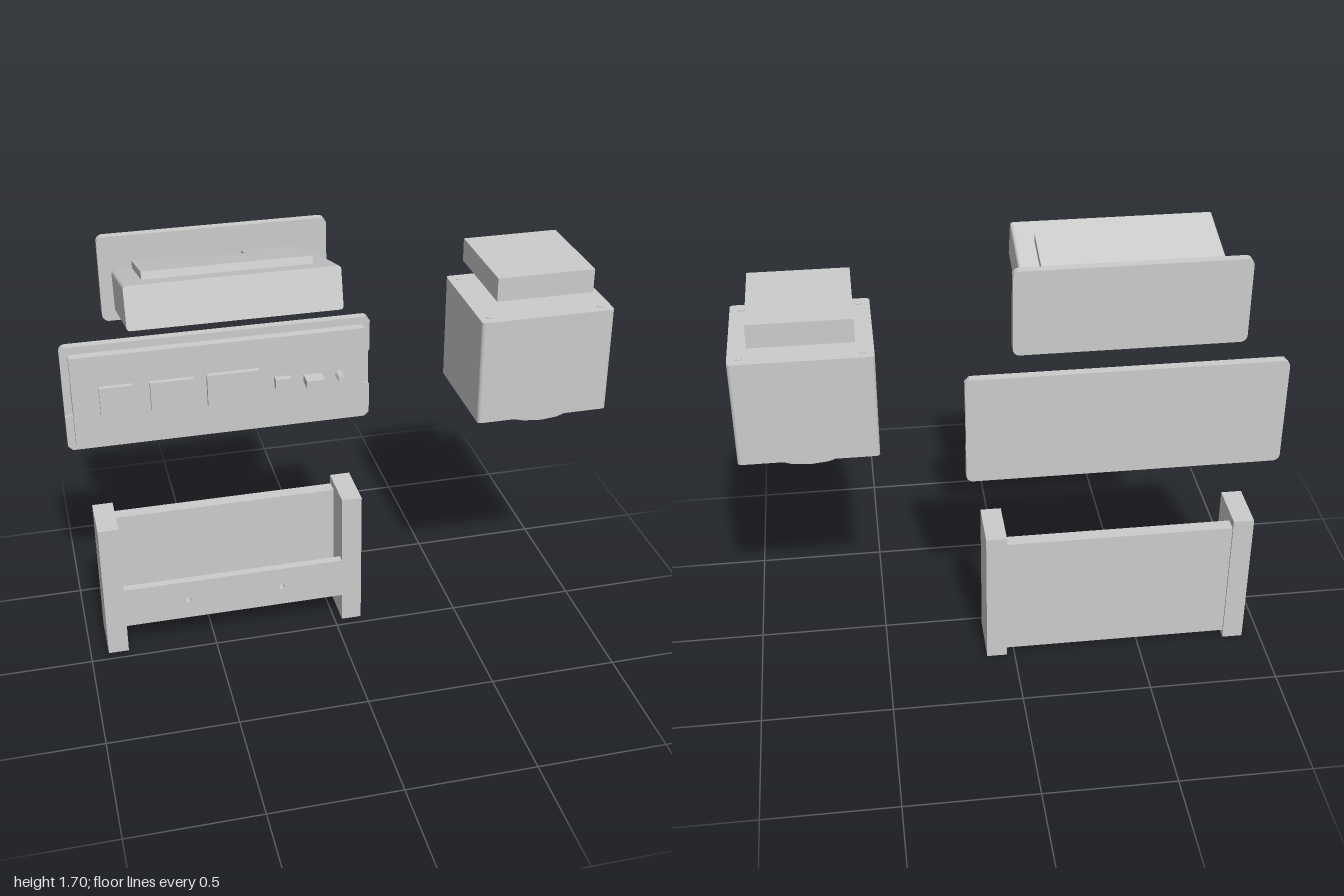
import * as THREE from 'three';

const mat = new THREE.MeshStandardMaterial({ color: 0xcccccc, flatShading: false });

function add(parent, name, geo) {
  const m = new THREE.Mesh(geo, mat);
  m.name = name;
  parent.add(m);
  return m;
}

// Box given by its limits on each axis
function block(parent, name, x0, x1, y0, y1, z0, z1) {
  const m = add(parent, name, new THREE.BoxGeometry(x1 - x0, y1 - y0, z1 - z0));
  m.position.set((x0 + x1) / 2, (y0 + y1) / 2, (z0 + z1) / 2);
  return m;
}

function roundRect(x0, x1, y0, y1, r) {
  const s = new THREE.Shape();
  s.absarc(x1 - r, y1 - r, r, 0, Math.PI / 2);
  s.absarc(x0 + r, y1 - r, r, Math.PI / 2, Math.PI);
  s.absarc(x0 + r, y0 + r, r, Math.PI, Math.PI * 1.5);
  s.absarc(x1 - r, y0 + r, r, Math.PI * 1.5, Math.PI * 2);
  s.closePath();
  return s;
}

function polygon(points) {
  return new THREE.Shape(points.map(p => new THREE.Vector2(p[0], p[1])));
}

function hole(shape, x, y, r) {
  const p = new THREE.Path();
  p.absarc(x, y, r, 0, Math.PI * 2, true);
  shape.holes.push(p);
}

// Extrude a front-facing outline between two z values
function slab(parent, name, shape, z0, z1) {
  const geo = new THREE.ExtrudeGeometry(shape, { depth: z1 - z0, bevelEnabled: false, curveSegments: 10 });
  geo.translate(0, 0, z0);
  return add(parent, name, geo);
}

function makeDisplay() {
  const g = new THREE.Group();
  g.name = 'displayUnit';
  slab(g, 'displayBackPlate', roundRect(-0.83, 0.01, 1.37, 1.695, 0.025), -0.24, -0.207);
  block(g, 'displayLedge', -0.75, -0.07, 1.385, 1.415, -0.21, -0.13);

  // Housing tilted upward at the front
  const tilt = new THREE.Group();
  tilt.name = 'tiltedHousing';
  tilt.position.set(-0.41, 1.549, 0.017);
  tilt.rotation.x = -Math.PI / 12;
  slab(tilt, 'housing', roundRect(-0.375, 0.375, -0.0765, 0.0765, 0.012), -0.209, 0.209);

  // Raised cover with a notch in its rear edge
  const cover = polygon([[-0.3, -0.103], [0.3, -0.103], [0.3, 0.205], [0.1, 0.205],
    [0.1, 0.125], [-0.1, 0.125], [-0.1, 0.205], [-0.3, 0.205]]);
  const top = slab(tilt, 'raisedCover', cover, 0, 0.029);
  top.rotation.x = -Math.PI / 2;
  top.position.y = 0.0755;
  g.add(tilt);
  return g;
}

function makeConnectorPanel() {
  const g = new THREE.Group();
  g.name = 'connectorPanel';
  slab(g, 'panelPlate', roundRect(-1, 0.18, 0.85, 1.28, 0.025), -0.24, -0.223);

  // Front layer with a shallow finger notch in each end
  const L = -1, R = 0.18, B = 0.85, T = 1.28, c = 0.018;
  slab(g, 'panelFrontLayer', polygon([
    [L + c, B], [R - c, B], [R, B + c], [R, 0.99], [R - 0.03, 1.0], [R - 0.03, 1.13], [R, 1.14], [R, T - c],
    [R - c, T], [L + c, T], [L, T - c], [L, 1.14], [L + 0.03, 1.13], [L + 0.03, 1.0], [L, 0.99], [L, B + c],
  ]), -0.223, -0.206);
  block(g, 'raisedPanel', -0.97, 0.15, 0.88, 1.25, -0.207, -0.17);

  // Sockets along the face: x range, y range, front
  const sockets = [
    [-0.87, -0.745, 1.01, 1.125, -0.15],
    [-0.68, -0.515, 1.01, 1.125, -0.15],
    [-0.465, -0.265, 1.0, 1.13, -0.15],
    [-0.205, -0.145, 1.045, 1.085, -0.14],
    [-0.09, -0.02, 1.05, 1.08, -0.11],
  ];
  for (const [x0, x1, y0, y1, z1] of sockets) block(g, 'socket', x0, x1, y0, y1, -0.172, z1);
  const jack = add(g, 'roundJack', new THREE.CylinderGeometry(0.015, 0.015, 0.056, 20));
  jack.rotation.x = Math.PI / 2;
  jack.position.set(0.05, 1.067, -0.144);
  return g;
}

function makeTray() {
  const g = new THREE.Group();
  g.name = 'tray';
  for (const x of [-0.93, 0.03]) block(g, 'sidePost', x, x + 0.08, 0, 0.575, -0.24, -0.038);
  block(g, 'backPanel', -0.851, 0.031, 0.03, 0.54, -0.232, -0.18);
  const strip = polygon([[-0.851, 0.12], [0.031, 0.12], [0.031, 0.29], [-0.851, 0.29]]);
  hole(strip, -0.6, 0.205, 0.013);
  hole(strip, -0.22, 0.205, 0.013);
  slab(g, 'frontStrip', strip, -0.07, -0.038);
  return g;
}

function makeCubeUnit() {
  const g = new THREE.Group();
  g.name = 'cubeUnit';
  const cx = 0.745, cz = -0.017;

  // Cube with rounded upright edges
  const body = slab(g, 'cubeBody', roundRect(-0.255, 0.255, -0.222, 0.222, 0.015), 0, 0.41);
  body.rotation.x = -Math.PI / 2;
  body.position.set(cx, 0.99, cz);
  block(g, 'topPad', 0.555, 0.925, 1.46, 1.55, -0.235, 0.162);

  // Screws on the top corners and on one side
  for (const x of [0.53, 0.958]) for (const z of [-0.2, 0.163]) {
    add(g, 'topScrew', new THREE.CylinderGeometry(0.012, 0.012, 0.006, 16)).position.set(x, 1.4, z);
  }
  const side = add(g, 'sideScrew', new THREE.CylinderGeometry(0.014, 0.014, 0.004, 16));
  side.rotation.z = Math.PI / 2;
  side.position.set(0.9995, 1.095, -0.17);

  // Stepped ring around a recessed disc on the underside
  const ring = roundlessRing(0.216, 0.158);
  const flange = slab(g, 'bottomRing', ring, 0, 0.022);
  flange.rotation.x = -Math.PI / 2;
  flange.position.set(cx, 0.97, cz);
  const disc = add(g, 'lensDisc', new THREE.CylinderGeometry(0.145, 0.145, 0.01, 48));
  disc.position.set(cx, 0.986, cz);
  for (let i = 0; i < 4; i++) {
    const a = (i * Math.PI) / 2;
    add(g, 'ringScrew', new THREE.CylinderGeometry(0.01, 0.01, 0.006, 12))
      .position.set(cx + 0.187 * Math.cos(a), 0.97, cz + 0.187 * Math.sin(a));
  }
  return g;
}

function roundlessRing(outer, inner) {
  const s = new THREE.Shape();
  s.absarc(0, 0, outer, 0, Math.PI * 2);
  hole(s, 0, 0, inner);
  s.curves.forEach(c => c.updateArcLengths());
  return s;
}

export function createModel() {
  const model = new THREE.Group();
  model.name = 'explodedDevice';
  model.add(makeDisplay(), makeConnectorPanel(), makeTray(), makeCubeUnit());
  return model;
}
